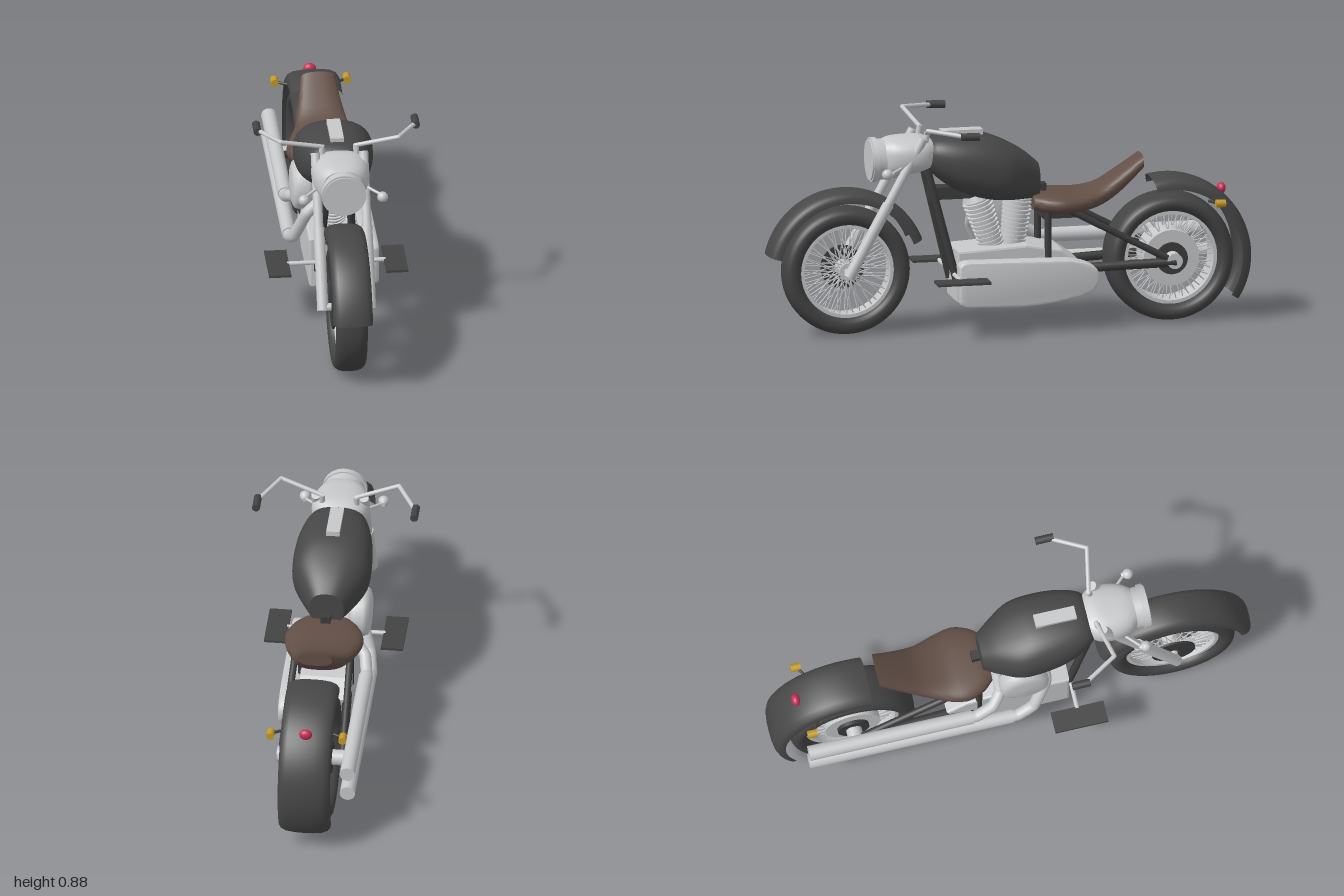
import * as THREE from 'three';
import { toCreasedNormals } from 'three/addons/utils/BufferGeometryUtils.js';

const V = (x, y, z) => new THREE.Vector3(x, y, z);

export function createModel() {
  const root = new THREE.Group();
  root.name = 'motorcycle';
  const material = (name, color) => Object.assign(new THREE.MeshStandardMaterial({ color }), { name });
  const paint = material('black paint', 0x474747);
  const rubber = material('rubber', 0x434343);
  const frameMat = material('frame black', 0x3c3c3c);
  const chrome = material('chrome', 0xc6c8ca);
  const leather = material('brown leather', 0x624f46);
  const amber = material('amber lens', 0xc49a28);
  const red = material('red lens', 0xc42f52);
  paint.side = THREE.DoubleSide;

  const add = (name, geo, mat, parent = root) => {
    const m = new THREE.Mesh(geo, mat);
    m.name = name;
    parent.add(m);
    return m;
  };
  const box = (name, mat, w, h, d, x, y, z) => {
    const m = add(name, new THREE.BoxGeometry(w, h, d), mat);
    m.position.set(x, y, z);
    return m;
  };
  // Cylinder between two points
  const rod = (name, mat, a, b, r, r2 = r, seg = 20, parent = root) => {
    const m = add(name, new THREE.CylinderGeometry(r2, r, a.distanceTo(b), seg), mat, parent);
    m.position.copy(a).lerp(b, 0.5);
    m.quaternion.setFromUnitVectors(V(0, 1, 0), b.clone().sub(a).normalize());
    return m;
  };
  const tube = (name, mat, pts, r, n = 40) =>
    add(name, new THREE.TubeGeometry(new THREE.CatmullRomCurve3(pts, false, 'catmullrom', 0.2), n, r, 16), mat);
  // Lathe whose axis is x; phi runs from +z towards +y
  const latheX = (pts, start = 0, len = Math.PI * 2, seg = 64) =>
    new THREE.LatheGeometry(pts.map(p => new THREE.Vector2(p[0], p[1])), seg, start, len).rotateZ(Math.PI / 2);
  // Body through rounded sections [z, bottom, top, halfWidth], front to back
  const loft = (name, mat, sections, power = 2.5, crease = 0.7) => {
    const n = 40, pos = [], idx = [];
    const sp = v => Math.sign(v) * Math.pow(Math.abs(v), 2 / power);
    sections.forEach(([z, y0, y1, w], i) => {
      for (let j = 0; j < n; j++) {
        const t = j / n * Math.PI * 2;
        pos.push(w * sp(Math.cos(t)), (y0 + y1) / 2 + (y1 - y0) / 2 * sp(Math.sin(t)), z);
        const k = (j + 1) % n, a = i * n, b = a + n;
        if (i < sections.length - 1) idx.push(a + j, b + j, a + k, b + j, b + k, a + k);
      }
    });
    const last = (sections.length - 1) * n, c = pos.length / 3;
    for (const s of [sections[0], sections[sections.length - 1]]) pos.push(0, (s[1] + s[2]) / 2, s[0]);
    for (let j = 0; j < n; j++) {
      const k = (j + 1) % n;
      idx.push(c, j, k, c + 1, last + k, last + j);
    }
    const g = new THREE.BufferGeometry();
    g.setAttribute('position', new THREE.Float32BufferAttribute(pos, 3));
    g.setIndex(idx);
    return add(name, toCreasedNormals(g, crease), mat);
  };
  // Smooth extra sections between a few key ones
  const smooth = (keys, n = 20) => {
    const a = new THREE.CatmullRomCurve3(keys.map(k => V(k[0], k[1], k[2])), false, 'centripetal');
    const b = new THREE.CatmullRomCurve3(keys.map(k => V(k[0], k[3], 0)), false, 'centripetal');
    return Array.from({ length: n + 1 }, (_, i) => {
      const p = a.getPoint(i / n);
      return [p.x, p.y, p.z, b.getPoint(i / n).y];
    });
  };

  // Spoked wheels
  const wheel = (name, z, w) => {
    const g = new THREE.Group();
    g.name = name;
    g.position.set(0, 0.267, z);
    root.add(g);
    const ring = [];
    for (let i = 0; i <= 28; i++) {
      const t = i / 28 * Math.PI * 2, c = Math.cos(t), s = Math.sin(t);
      ring.push([0.225 + 0.038 * Math.sign(c) * Math.abs(c) ** 0.85, w * Math.sign(s) * Math.abs(s) ** 0.75]);
    }
    add('tire', latheX(ring), rubber, g);
    const rw = w * 0.62;
    add('rim', toCreasedNormals(latheX([[0.178, -rw], [0.194, -rw], [0.194, rw], [0.178, rw], [0.178, -rw]]), 0.6), chrome, g);
    for (const s of [-1, 1]) for (let i = 0; i < 40; i++) {
      const t = i / 40 * Math.PI * 2, u = t + (i % 2 ? 0.45 : -0.45);
      rod('spoke', chrome, V(s * w * 0.6, 0.035 * Math.sin(u), 0.035 * Math.cos(u)),
        V(s * w * 0.3, 0.182 * Math.sin(t), 0.182 * Math.cos(t)), 0.0025, 0.0025, 5, g);
    }
    const disc = (n, mat, x0, x1, r) => rod(n, mat, V(x0, 0, 0), V(x1, 0, 0), r, r, 40, g);
    return { disc };
  };
  const front = wheel('frontWheel', 0.674, 0.065);
  front.disc('hub', chrome, -0.05, 0.05, 0.035);
  front.disc('axle', chrome, -0.1, 0.1, 0.016);
  front.disc('brakeDisc', frameMat, -0.062, -0.054, 0.09);
  const rear = wheel('rearWheel', -0.663, 0.097);
  rear.disc('hub', chrome, -0.07, 0.07, 0.115);
  rear.disc('sprocket', frameMat, -0.085, 0.085, 0.065);
  rear.disc('axle', chrome, -0.14, 0.14, 0.032);

  // Fenders
  const fender = (name, z, w, from, to) => {
    const pts = [[0.288, -w], [0.306, -w * 0.99], [0.32, -w * 0.9], [0.33, -w * 0.7], [0.335, -w * 0.35]];
    const all = [...pts, [0.336, 0], ...pts.slice().reverse().map(([r, x]) => [r, -x])];
    const d = Math.PI / 180;
    add(name, latheX(all, from * d, (to - from) * d, 48), paint).position.set(0, 0.267, z);
  };
  fender('frontFender', 0.674, 0.08, 13, 158);
  fender('rearFender', -0.663, 0.106, 77, 213);

  // Tank with its top plate, and the seat
  loft('tank', paint, smooth([[0.34, 0.68, 0.78, 0.09], [0.31, 0.645, 0.805, 0.115], [0.22, 0.58, 0.815, 0.148],
    [0.1, 0.54, 0.805, 0.16], [0.02, 0.532, 0.775, 0.153], [-0.06, 0.53, 0.73, 0.11], [-0.12, 0.535, 0.68, 0.07]]), 2.5);
  box('tankPlate', chrome, 0.055, 0.022, 0.17, 0, 0.817, 0.195);
  box('seatLatch', frameMat, 0.04, 0.03, 0.04, 0, 0.575, -0.135);
  loft('seat', leather, smooth([[-0.09, 0.49, 0.555, 0.1], [-0.13, 0.478, 0.56, 0.135], [-0.2, 0.472, 0.56, 0.16],
    [-0.28, 0.475, 0.558, 0.145], [-0.37, 0.495, 0.578, 0.11], [-0.46, 0.55, 0.635, 0.088], [-0.55, 0.635, 0.695, 0.07]]), 2.6);

  // Headlight and nacelle
  loft('nacelle', chrome, smooth([[0.52, 0.645, 0.8, 0.08], [0.49, 0.65, 0.808, 0.1], [0.43, 0.655, 0.812, 0.116],
    [0.36, 0.67, 0.81, 0.112], [0.31, 0.69, 0.79, 0.08]]), 2.6);
  rod('headlight', chrome, V(0, 0.718, 0.46), V(0, 0.718, 0.56), 0.078, 0.086, 40);
  rod('headlightRing', chrome, V(0, 0.718, 0.55), V(0, 0.718, 0.572), 0.091, 0.091, 40);
  rod('headlightLens', chrome, V(0, 0.718, 0.572), V(0, 0.718, 0.578), 0.084, 0.084, 40);

  // Mirrored parts
  for (const s of [-1, 1]) {
    const P = (x, y, z) => V(s * x, y, z);
    rod('forkLower', chrome, P(0.097, 0.255, 0.68), P(0.097, 0.55, 0.517), 0.023);
    rod('forkUpper', chrome, P(0.098, 0.54, 0.522), P(0.098, 0.815, 0.372), 0.019);
    rod('handlebarInner', chrome, P(0.063, 0.83, 0.35), P(0.24, 0.878, 0.385), 0.009);
    rod('handlebarOuter', chrome, P(0.24, 0.878, 0.385), P(0.318, 0.864, 0.25), 0.009);
    add('handlebarBend', new THREE.SphereGeometry(0.009, 12, 8), chrome).position.copy(P(0.24, 0.878, 0.385));
    rod('grip', rubber, P(0.322, 0.864, 0.265), P(0.322, 0.862, 0.19), 0.016);
    rod('handlebarRiser', chrome, P(0.07, 0.78, 0.36), P(0.07, 0.835, 0.35), 0.012);
    // Front signals
    const bullet = add('frontSignal', new THREE.SphereGeometry(0.022, 20, 14), chrome);
    bullet.position.copy(P(0.16, 0.687, 0.535));
    rod('frontSignalTail', chrome, P(0.16, 0.687, 0.54), P(0.16, 0.687, 0.508), 0.022, 0.009);
    rod('frontSignalStalk', chrome, P(0.09, 0.7, 0.45), P(0.16, 0.687, 0.52), 0.006);
    // Rear signals
    rod('rearSignalStalk', frameMat, P(0.09, 0.5, -0.815), P(0.147, 0.5, -0.845), 0.006);
    rod('rearSignal', amber, P(0.147, 0.5, -0.83), P(0.147, 0.5, -0.87), 0.016);
    // Frame tubes
    rod('downTube', frameMat, P(0.04, 0.68, 0.345), P(0.075, 0.2, 0.225), 0.016);
    rod('seatPost', frameMat, P(0.1, 0.26, -0.145), P(0.1, 0.49, -0.145), 0.014);
    rod('rearStay', frameMat, P(0.11, 0.5, -0.22), P(0.125, 0.27, -0.65), 0.014);
    rod('swingArm', frameMat, P(0.09, 0.245, -0.15), P(0.125, 0.262, -0.67), 0.019);
    // Footboards
    box('footboard', rubber, 0.09, 0.01, 0.22, s * 0.238, 0.243, 0.24);
    rod('footboardBar', chrome, P(0.07, 0.243, 0.24), P(0.2, 0.243, 0.24), 0.009);
  }
  box('topTube', frameMat, 0.07, 0.05, 0.42, 0, 0.57, 0.12);
  box('seatBase', frameMat, 0.16, 0.04, 0.16, 0, 0.475, -0.21);
  const tail = add('tailLight', new THREE.SphereGeometry(0.024, 20, 14), red);
  tail.position.set(0, 0.533, -0.885);
  tail.scale.set(1.1, 0.95, 0.75);

  // Crankcase and gearbox
  const caseShape = new THREE.Shape();
  [[0.22, 0.14], [0.22, 0.33], [-0.06, 0.345], [-0.2, 0.32], [-0.27, 0.27], [-0.25, 0.17], [-0.12, 0.13]]
    .forEach(([z, y], i) => i ? caseShape.lineTo(-z, y) : caseShape.moveTo(-z, y));
  const engineCase = add('crankcase', new THREE.ExtrudeGeometry(caseShape, { depth: 0.19, bevelSize: 0.01, bevelThickness: 0.01, bevelSegments: 2 }), chrome);
  engineCase.rotation.y = Math.PI / 2;
  engineCase.position.x = -0.1;
  // Primary cover on the left side
  const cover = new THREE.Shape();
  cover.moveTo(-0.225, 0.15);
  cover.lineTo(-0.225, 0.285);
  cover.quadraticCurveTo(-0.22, 0.297, -0.19, 0.297);
  cover.lineTo(0.21, 0.29);
  cover.quadraticCurveTo(0.33, 0.275, 0.332, 0.23);
  cover.quadraticCurveTo(0.335, 0.185, 0.29, 0.165);
  cover.quadraticCurveTo(0.15, 0.125, 0.0, 0.125);
  cover.lineTo(-0.19, 0.13);
  cover.quadraticCurveTo(-0.225, 0.13, -0.225, 0.15);
  const primary = add('primaryCover', toCreasedNormals(new THREE.ExtrudeGeometry(cover,
    { depth: 0.045, bevelSize: 0.012, bevelThickness: 0.015, bevelSegments: 3, curveSegments: 10 }), 0.5), chrome);
  primary.rotation.y = Math.PI / 2;
  primary.position.x = 0.115;

  // Finned cylinders
  for (const [name, z0, z1] of [['frontCylinder', 0.06, 0.135], ['rearCylinder', -0.015, -0.045]]) {
    const a = V(0, 0.32, z0), b = V(0, 0.55, z1), at = t => a.clone().lerp(b, t);
    rod(name, chrome, a, b, 0.045, 0.05);
    for (let i = 0; i < 11; i++) {
      const t = 0.1 + i * 0.076, r = 0.05 + 0.015 * t;
      rod('coolingFin', chrome, at(t), at(t + 0.032), r, r, 32);
    }
    rod('cylinderHead', chrome, at(0.93), at(1.02), 0.06, 0.05, 32);
  }

  // Air cleaner on the right side
  const cleaner = latheX([[0, -0.06], [0.09, -0.06], [0.1, -0.04], [0.102, 0], [0.094, 0.017], [0.07, 0.026], [0, 0.03]], 0, Math.PI * 2, 40);
  add('airCleaner', cleaner, chrome).position.set(-0.14, 0.497, 0.035);

  // Exhausts: bent header and straight silencer
  for (const [y, z0, z1] of [[0.335, -0.06, -0.15], [0.24, 0.13, 0.02]]) {
    tube('exhaustHeader', chrome, [V(-0.05, 0.47, z0), V(-0.11, 0.41, z0), V(-0.155, y + 0.04, z1 + 0.05), V(-0.168, y, z1 - 0.02), V(-0.168, y, z1 - 0.08)], 0.024);
    rod('silencer', chrome, V(-0.168, y, z1 - 0.04), V(-0.168, y, -0.87), 0.029, 0.031, 28);
  }
  return root;
}
